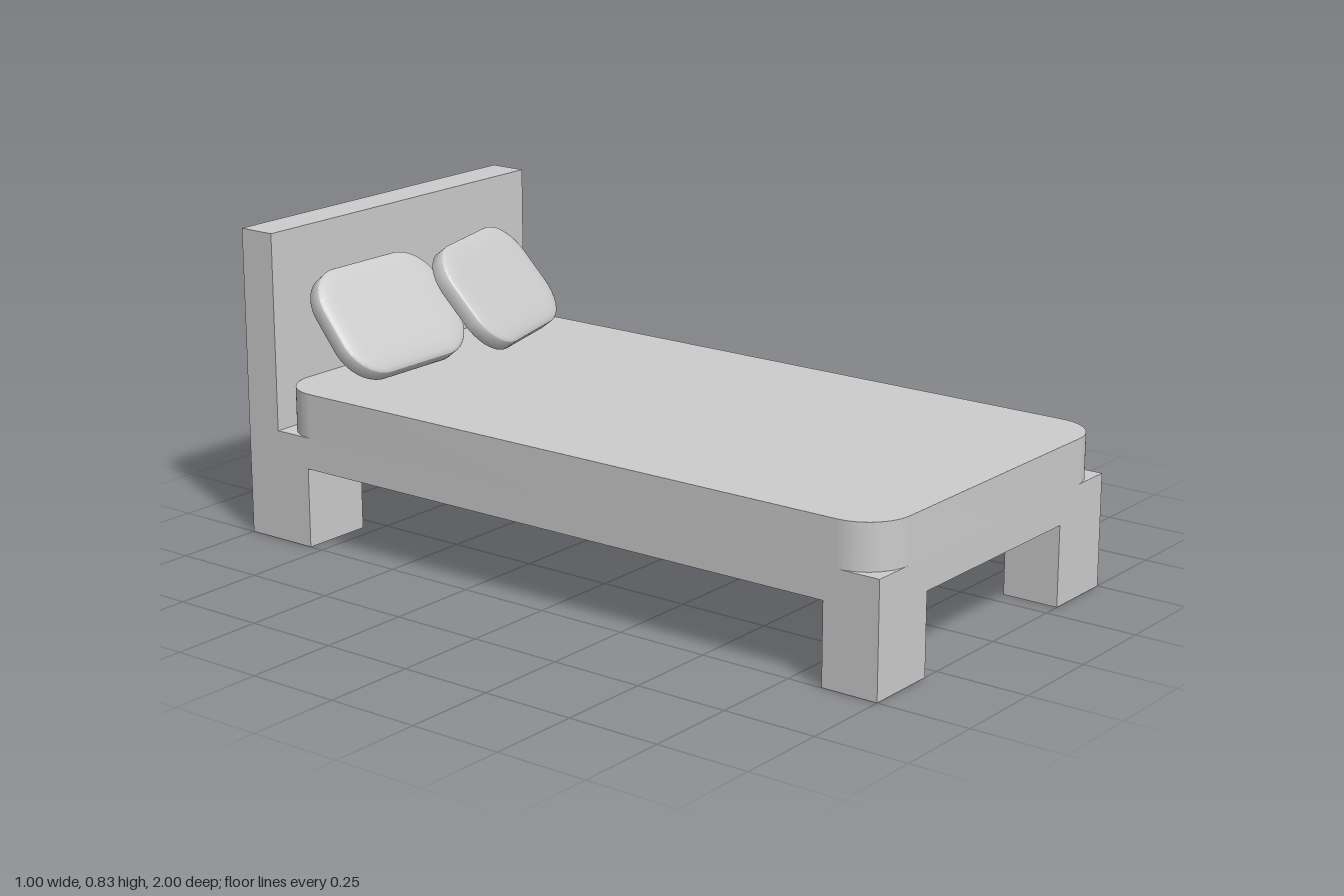
import * as THREE from 'three';
import { toCreasedNormals } from 'three/addons/utils/BufferGeometryUtils.js';

const material = new THREE.MeshStandardMaterial({ color: 0xcccccc });

function addMesh(parent, name, geometry) {
  const mesh = new THREE.Mesh(geometry, material);
  mesh.name = name;
  parent.add(mesh);
  return mesh;
}

// Box given by its minimum and maximum corners
function addBox(parent, name, [x0, y0, z0], [x1, y1, z1]) {
  const mesh = addMesh(parent, name, new THREE.BoxGeometry(x1 - x0, y1 - y0, z1 - z0));
  mesh.position.set((x0 + x1) / 2, (y0 + y1) / 2, (z0 + z1) / 2);
}

function roundedRect(w, h, r) {
  const x = w / 2, y = h / 2, s = new THREE.Shape();
  s.absarc(x - r, y - r, r, 0, Math.PI / 2);
  s.absarc(-x + r, y - r, r, Math.PI / 2, Math.PI);
  s.absarc(-x + r, -y + r, r, Math.PI, Math.PI * 1.5);
  s.absarc(x - r, -y + r, r, Math.PI * 1.5, Math.PI * 2);
  s.closePath();
  return s;
}

export function createModel() {
  const bed = new THREE.Group();
  bed.name = 'bed';

  // Frame and headboard
  addBox(bed, 'frame', [-0.5, 0.215, -0.895], [0.5, 0.3, 1]);
  addBox(bed, 'headboard', [-0.5, 0.215, -1], [0.5, 0.83, -0.895]);

  // Four block legs, the rear pair deeper
  for (const side of [-1, 1]) {
    const x0 = side < 0 ? -0.5 : 0.3;
    const label = side < 0 ? 'Right' : 'Left';
    addBox(bed, 'front' + label + 'Leg', [x0, 0, 0.845], [x0 + 0.2, 0.215, 1]);
    addBox(bed, 'back' + label + 'Leg', [x0, 0, -1], [x0 + 0.2, 0.215, -0.79]);
  }

  // Mattress with rounded corners
  const mattressGeo = new THREE.ExtrudeGeometry(roundedRect(1, 1.895, 0.12), {
    depth: 0.12, bevelEnabled: false, curveSegments: 12,
  });
  mattressGeo.rotateX(-Math.PI / 2);
  const mattress = addMesh(bed, 'mattress', toCreasedNormals(mattressGeo, 0.6));
  mattress.position.set(0, 0.3, 0.0525);

  // Soft pillows leaning back against the headboard
  const bevel = 0.06, band = 0.036;
  const pillowGeo = new THREE.ExtrudeGeometry(roundedRect(0.45 - 2 * bevel, 0.318 - 2 * bevel, 0.05), {
    depth: band, bevelEnabled: true, bevelSize: bevel, bevelThickness: 0.012,
    bevelSegments: 6, curveSegments: 10,
  });
  pillowGeo.translate(0, 0, -band / 2);
  const smoothPillow = toCreasedNormals(pillowGeo, 0.6);
  for (const [name, x, z, yaw] of [
    ['rightPillow', -0.195, -0.775, 0],
    ['leftPillow', 0.205, -0.745, 0.27],
  ]) {
    const pillow = addMesh(bed, name, smoothPillow);
    pillow.position.set(x, 0.57, z);
    pillow.rotation.set(-0.68, yaw, 0, 'YXZ');
  }

  return bed;
}
